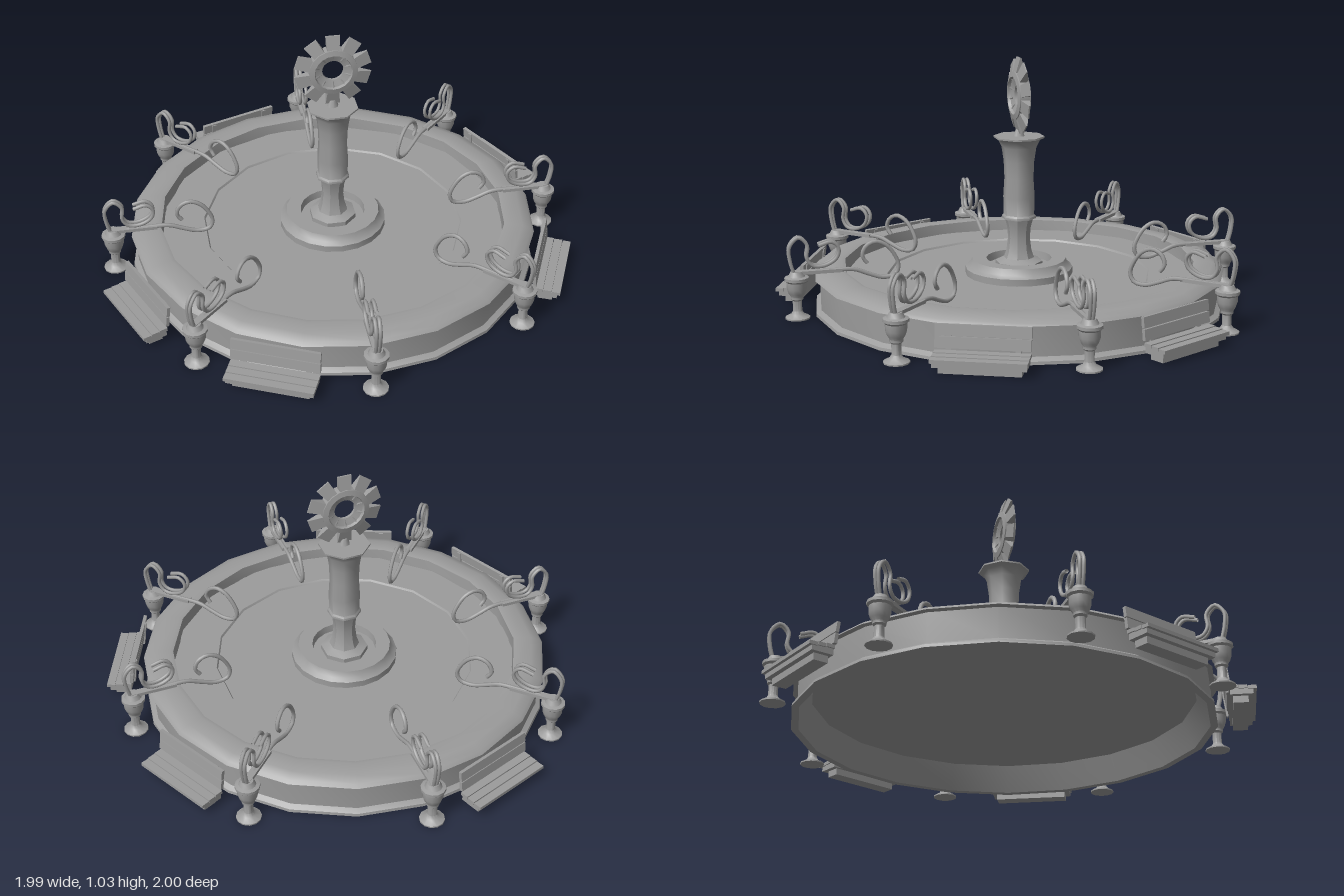
import * as THREE from 'three';
import { toCreasedNormals } from 'three/addons/utils/BufferGeometryUtils.js';

const material = new THREE.MeshStandardMaterial({ color: 0x9c9c9c, side: THREE.DoubleSide });

function mesh(name, geometry, parent, x = 0, y = 0, z = 0) {
  const m = new THREE.Mesh(geometry, material);
  m.name = name;
  m.position.set(x, y, z);
  parent.add(m);
  return m;
}

function group(name, parent) {
  const g = new THREE.Group();
  g.name = name;
  parent.add(g);
  return g;
}

// Revolved profile of [radius, height] pairs, smooth around and sharp at real edges
function lathe(points, sides, crease = 0.65) {
  const profile = points.map(([r, y]) => new THREE.Vector2(r, y));
  return toCreasedNormals(new THREE.LatheGeometry(profile, sides), crease);
}

// Tube through [radius, height] pairs, drifting sideways from x0 to x1
function scroll(points, radius, x0 = 0, x1 = 0) {
  const last = points.length - 1;
  const path = new THREE.CatmullRomCurve3(points.map(([r, y], i) => (
    new THREE.Vector3(x0 + (x1 - x0) * i / last, y, r))));
  return new THREE.TubeGeometry(path, 40, radius, 6);
}

// Block whose width and thickness change from bottom to top
function taperedBlock(w0, w1, d0, d1, height) {
  const g = new THREE.BoxGeometry(1, height, 1);
  const p = g.attributes.position;
  for (let i = 0; i < p.count; i++) {
    const top = p.getY(i) > 0;
    p.setX(i, p.getX(i) * (top ? w1 : w0));
    p.setZ(i, p.getZ(i) * (top ? d1 : d0));
  }
  g.computeVertexNormals();
  return g;
}

function addBasin(parent) {
  // Wall, rounded rim and raised floor, hollow underneath
  mesh('basin', lathe([
    [0, 0.11], [0.78, 0.11], [0.83, 0], [0.86, 0], [0.858, 0.012], [0.838, 0.025],
    [0.84, 0.145], [0.86, 0.148], [0.848, 0.161], [0.81, 0.174], [0.75, 0.18],
    [0.733, 0.176], [0.73, 0.122], [0, 0.122],
  ], 20), parent);
  // Shallow step on the floor
  const step = mesh('floorStep', lathe([[0.73, 0.13], [0.553, 0.13], [0.546, 0.12]], 16), parent);
  step.rotation.y = Math.PI / 16;
}

function addColumn(parent) {
  const column = group('column', parent);
  mesh('columnBase', lathe([
    [0.225, 0.12], [0.225, 0.15], [0.208, 0.162], [0.197, 0.187], [0.137, 0.187], [0.133, 0.155], [0, 0.155],
  ], 20), column);
  // Faceted foot
  const foot = mesh('columnFoot', lathe([
    [0.1, 0.155], [0.1, 0.175], [0.064, 0.19], [0.053, 0.22], [0.046, 0.275], [0.05, 0.32], [0.06, 0.358],
  ], 8, 0.35), column);
  // Smooth shaft with flared capital
  const shaft = mesh('columnShaft', lathe([
    [0, 0.356], [0.071, 0.358], [0.071, 0.368], [0.064, 0.375], [0.066, 0.45], [0.061, 0.53],
    [0.064, 0.6], [0.073, 0.66], [0.088, 0.69], [0.107, 0.699], [0.107, 0.706], [0, 0.706],
  ], 8, 0.85), column);
  foot.rotation.y = shaft.rotation.y = Math.PI / 8;
}

function addWheel(parent) {
  const wheel = group('toothedWheel', parent);
  wheel.position.y = 0.875;
  const ring = mesh('wheelRing', lathe([
    [0.044, -0.006], [0.074, -0.016], [0.078, -0.028], [0.1, -0.023], [0.1, 0.023],
    [0.078, 0.028], [0.074, 0.016], [0.044, 0.006], [0.044, -0.006],
  ], 20, 0.4), wheel);
  ring.rotation.x = Math.PI / 2;
  for (let i = 0; i < 10; i++) {
    const spoke = group('wheelTooth', wheel);
    spoke.rotation.z = i * Math.PI / 5;
    mesh('tooth', taperedBlock(0.046, 0.06, 0.044, 0.006, 0.072), spoke, 0, 0.121, 0);
    // Small wedges set into both faces of the ring
    for (const side of [-1, 1]) {
      const wedge = mesh('wedge', new THREE.ConeGeometry(0.013, 0.034, 4), spoke, 0, 0.066, side * 0.011);
      wedge.rotation.x = Math.PI;
    }
  }
  mesh('wheelMount', new THREE.CylinderGeometry(0.014, 0.025, 0.03, 8), parent, 0, 0.718, 0);
}

// Urn on a foot, carrying a scrolled arm that reaches over the rim
function addSpout(parent, angle) {
  const spout = group('spout', parent);
  spout.rotation.y = angle;
  mesh('urn', lathe([
    [0, 0], [0.051, 0], [0.051, 0.006], [0.028, 0.018], [0.019, 0.032], [0.019, 0.075],
    [0.026, 0.082], [0.026, 0.092], [0.034, 0.105], [0.041, 0.125], [0.042, 0.152],
    [0.05, 0.16], [0.05, 0.172], [0.035, 0.176], [0.025, 0.195], [0, 0.195],
  ], 12), spout, 0, 0, 0.935);
  mesh('armBar', new THREE.BoxGeometry(0.03, 0.014, 0.2), spout, 0, 0.19, 0.85);
  // Twin upper scrolls, spreading slightly toward the curl
  for (const side of [-1, 1]) {
    mesh('upperScroll', scroll([
      [0.945, 0.185], [0.96, 0.24], [0.962, 0.3], [0.925, 0.337], [0.89, 0.305], [0.893, 0.25],
      [0.87, 0.218], [0.82, 0.216], [0.772, 0.245], [0.763, 0.285], [0.79, 0.312], [0.845, 0.3],
    ], 0.008, side * 0.006, side * 0.016), spout);
  }
  // Long arm ending in a closed loop above the water
  mesh('innerScroll', scroll([
    [0.95, 0.188], [0.8, 0.19], [0.7, 0.188], [0.64, 0.165], [0.58, 0.146], [0.53, 0.155],
    [0.515, 0.19], [0.53, 0.235], [0.565, 0.28], [0.61, 0.298], [0.65, 0.28], [0.665, 0.24], [0.645, 0.21],
  ], 0.009), spout);
}

// Outward-facing bench with its back to the basin
function addBench(parent, x, z) {
  const bench = group('bench', parent);
  bench.position.set(x, 0, z);
  bench.rotation.y = Math.atan2(x, z);
  mesh('benchBase', new THREE.BoxGeometry(0.31, 0.03, 0.06), bench, 0, 0.015, 0);
  mesh('seatFrame', new THREE.BoxGeometry(0.35, 0.025, 0.09), bench, 0, 0.04, 0.005);
  for (let i = 0; i < 3; i++) {
    mesh('seatSlat', new THREE.BoxGeometry(0.36, 0.014, 0.034), bench, 0, 0.06 - i * 0.003, -0.026 + i * 0.036);
  }
  const back = group('benchBack', bench);
  back.position.set(0, 0.06, -0.042);
  back.rotation.x = -0.12;
  for (const y of [0.036, 0.083]) mesh('backSlat', new THREE.BoxGeometry(0.36, 0.043, 0.014), back, 0, y, 0);
  for (const px of [-0.13, 0.13]) mesh('backPost', new THREE.BoxGeometry(0.02, 0.11, 0.008), back, px, 0.045, -0.008);
}

export function createModel() {
  const model = new THREE.Group();
  model.name = 'fountain';
  addBasin(model);
  addColumn(model);
  addWheel(model);
  for (let i = 0; i < 8; i++) addSpout(model, i * Math.PI / 4);
  const benches = [[-0.32, -0.885], [0.85, -0.41], [0.86, 0.39], [-0.87, 0.37], [-0.39, 0.86]];
  for (const [x, z] of benches) addBench(model, x, z);
  return model;
}
